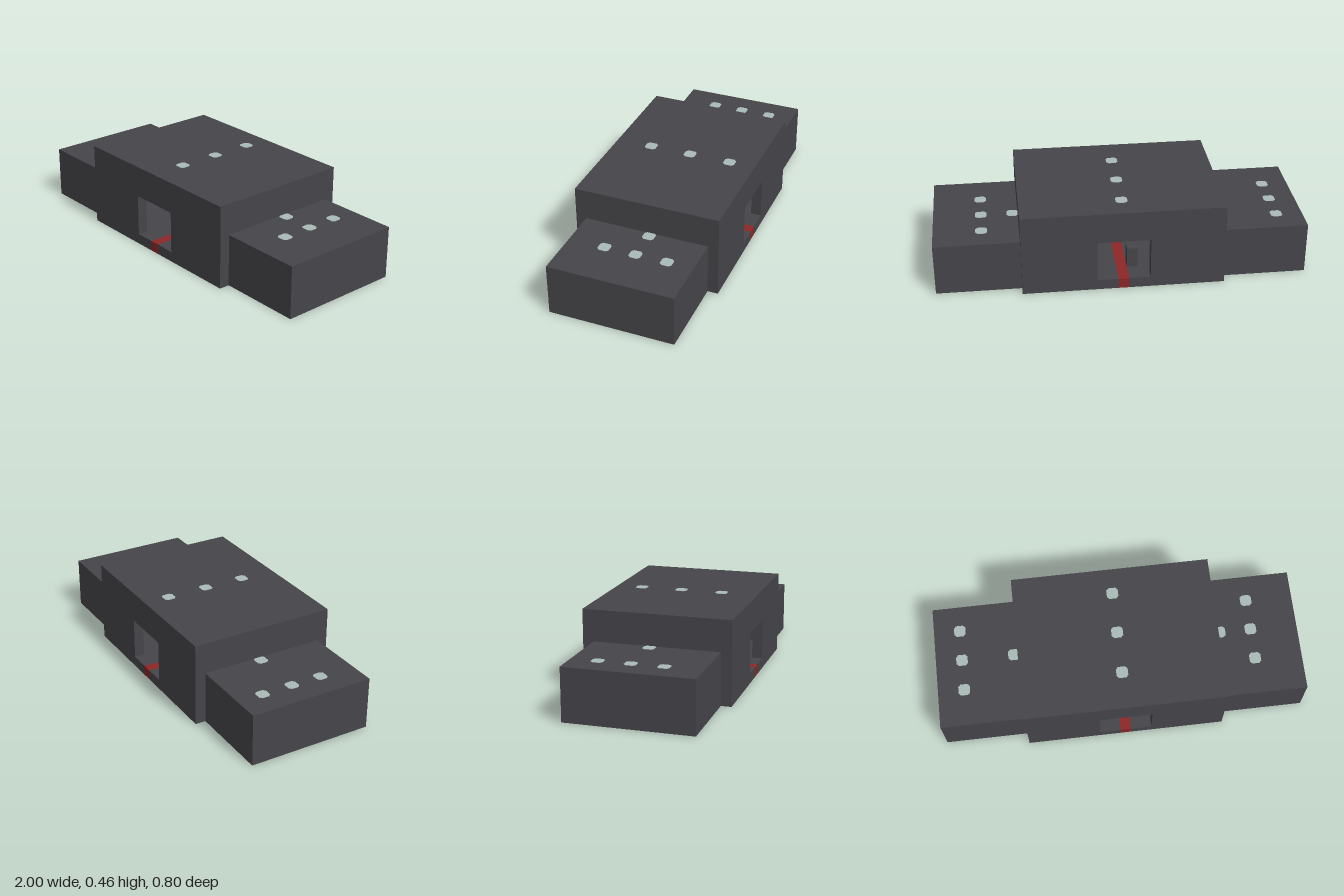
import * as THREE from 'three';

// One block of the building: 35 blocks make the full width of 2 units.
const U = 2 / 35;

export function createModel() {
  const stone = new THREE.MeshStandardMaterial({ color: 0x46454a });
  stone.name = 'dark stone';
  const red = new THREE.MeshStandardMaterial({ color: 0x8f2626 });
  red.name = 'red floor';
  const glow = new THREE.MeshStandardMaterial({ color: 0xa9bab6 });
  glow.name = 'pale lamp';

  const model = new THREE.Group();
  model.name = 'building';

  function add(name, geometry, material, x = 0, y = 0, z = 0) {
    const mesh = new THREE.Mesh(geometry, material);
    mesh.name = name;
    mesh.position.set(x * U, y * U, z * U);
    model.add(mesh);
    return mesh;
  }

  // Box given by its minimum and maximum corners, in blocks
  function block(name, material, [x0, y0, z0], [x1, y1, z1]) {
    const g = new THREE.BoxGeometry((x1 - x0) * U, (y1 - y0) * U, (z1 - z0) * U);
    return add(name, g, material, (x0 + x1) / 2, (y0 + y1) / 2, (z0 + z1) / 2);
  }

  // Front and back walls, each with a doorway that starts at floor level
  const outline = [
    [-9.5, 1], [-2.5, 1], [-2.5, 5], [2.5, 5], [2.5, 1], [9.5, 1], [9.5, 8], [-9.5, 8],
  ].map(([x, y]) => new THREE.Vector2(x * U, y * U));
  const wall = new THREE.ExtrudeGeometry(new THREE.Shape(outline), { depth: U, bevelEnabled: false });
  add('frontWall', wall, stone, 0, 0, 6);
  add('backWall', wall, stone, 0, 0, -7);

  // Hall roof, and the floor split by a red path running through both doorways
  block('roof', stone, [-9.5, 7, -6], [9.5, 8, 6]);
  block('redPath', red, [-0.5, 0, -7], [0.5, 1, 7]);

  for (const [side, s] of [['left', 1], ['right', -1]]) {
    const span = (name, a, b, y0, y1, z) =>
      block(side + name, stone, [Math.min(s * a, s * b), y0, -z], [Math.max(s * a, s * b), y1, z]);
    span('Floor', 0.5, 9.5, 0, 1, 7);
    span('SideWall', 8.5, 9.5, 1, 7, 6);
    span('Wing', 9.5, 17.5, 0, 5, 6);
  }

  // Short post just inside the back doorway
  block('post', stone, [-1.5, 1, -5], [-0.5, 3, -4]);

  // Lamps: thin square plates with clipped corners, flush with the roofs
  const a = 0.55 * U, c = 0.33 * U;
  const lampShape = new THREE.Shape(
    [[a, -c], [a, c], [c, a], [-c, a], [-a, c], [-a, -c], [-c, -a], [c, -a]]
      .map(([x, y]) => new THREE.Vector2(x, y)),
  );
  const lampGeometry = new THREE.ExtrudeGeometry(lampShape, { depth: 0.002, bevelEnabled: false });
  lampGeometry.rotateX(-Math.PI / 2);
  const lamp = (name, x, y, z) => add(name, lampGeometry, glow, x, y, z);

  for (const z of [-4.5, -0.5, 3.5]) lamp('roofLamp', 0, 8, z);
  for (const x of [-15, 13]) {
    for (const z of [-3.5, -0.5, 2.5]) lamp('wingLamp', x, 5, z);
  }
  for (const x of [-10, 10]) lamp('wallLamp', x, 5, -0.5);

  return model;
}
